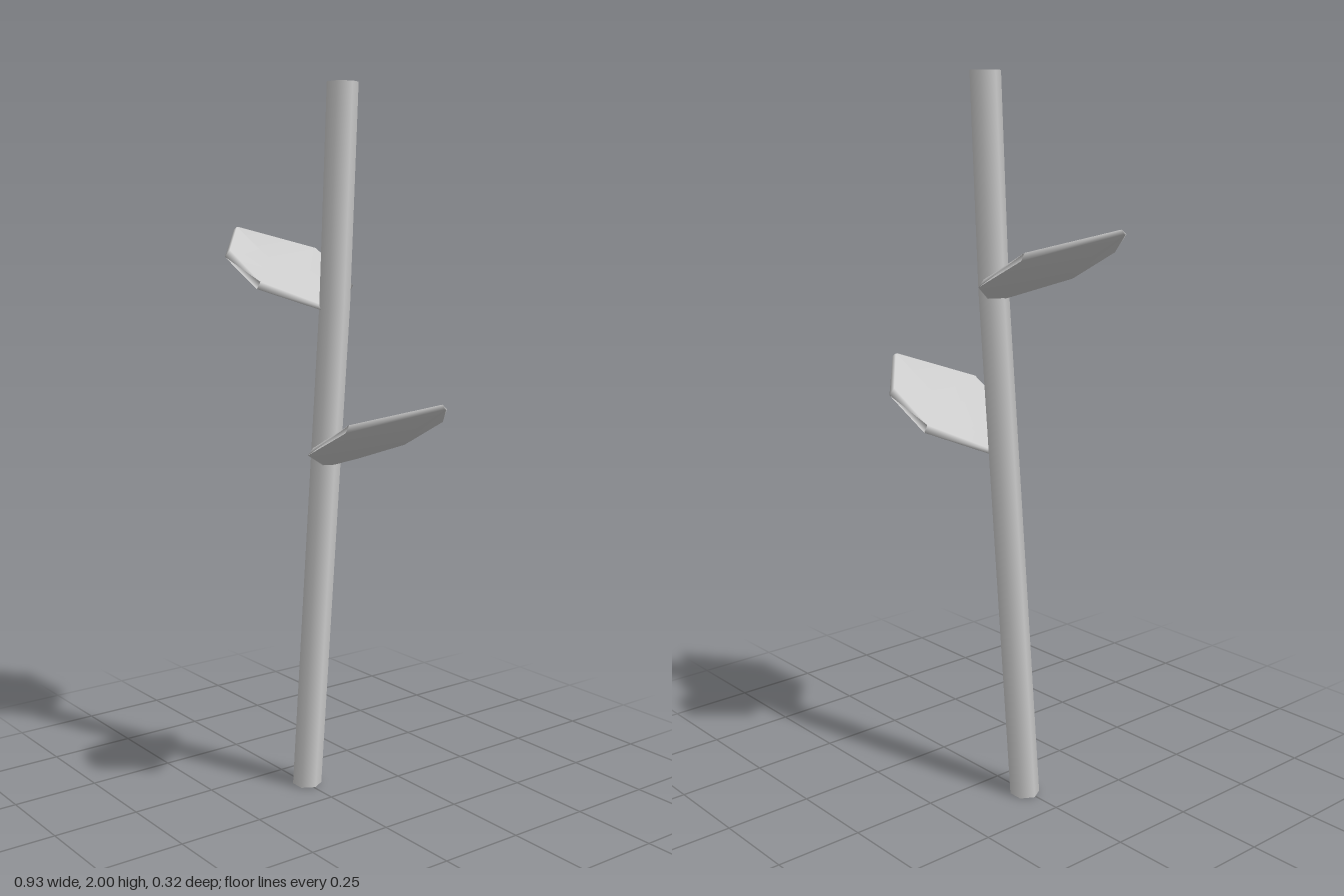
import * as THREE from 'three';

const material = new THREE.MeshStandardMaterial({ color: 0xcccccc });

// Hexagonal stem whose rings follow a gently bent centre line
function createStem() {
  const path = [[-0.125, 0], [-0.062, 0.67], [0.009, 1.42], [0.043, 2]];
  const geometry = new THREE.CylinderGeometry(0.042, 0.042, 3, 6, 3, false, Math.PI / 2);
  const pos = geometry.attributes.position;
  for (let i = 0; i < pos.count; i++) {
    const [cx, y] = path[Math.round(pos.getY(i) + 1.5)];
    pos.setXYZ(i, pos.getX(i) + cx, y, pos.getZ(i) - 0.005);
  }
  const stem = new THREE.Mesh(geometry, material);
  stem.name = 'stem';
  return stem;
}

// Thin cupped leaf with a bevelled rim, lofted from its base to its tip along +x
function createLeaf(name) {
  const thick = 0.019;
  // front x, front z, back x, back z, rim height, midrib height, thickness, bevel in z, bevel in x
  const stations = [
    [-0.022, 0.006, -0.022, -0.006, 0, 0, 0.012, 0.002, 0.006],
    [0.105, 0.156, 0.13, -0.154, 0.066, 0.042, thick, 0.014, 0.004],
    [0.275, 0.162, 0.282, -0.158, 0.148, 0.108, thick, 0.014, -0.004],
    [0.467, 0.001, 0.467, -0.007, 0.217, 0.216, 0.01, 0.002, -0.014],
  ];
  const points = [];
  for (const [fx, fz, bx, bz, rim, mid, t, dz, dx] of stations) {
    const mx = (fx + bx) / 2, mz = (fz + bz) / 2;
    points.push(
      fx, rim, fz, mx, mid, mz, bx, rim, bz,
      bx + dx, rim + t, bz + dz, mx + dx, mid + t, mz, fx + dx, rim + t, fz - dz,
    );
  }
  const n = 6, last = (stations.length - 1) * n, index = [];
  for (let s = 0; s < last; s += n) {
    for (let j = 0; j < n; j++) {
      const a = s + j, b = s + (j + 1) % n;
      index.push(a, b, a + n, b, b + n, a + n);
    }
  }
  // Close the base and the tip
  for (let j = 1; j < n - 1; j++) {
    index.push(0, j + 1, j, last, last + j, last + j + 1);
  }
  const geometry = new THREE.BufferGeometry();
  geometry.setAttribute('position', new THREE.Float32BufferAttribute(points, 3));
  geometry.setIndex(index);
  geometry.computeVertexNormals();
  const leaf = new THREE.Mesh(geometry, material);
  leaf.name = name;
  return leaf;
}

export function createModel() {
  const group = new THREE.Group();
  group.name = 'twig';

  const lowerLeaf = createLeaf('lowerLeaf');
  lowerLeaf.position.y = 0.968;

  // Same leaf turned to the other side, higher up
  const upperLeaf = createLeaf('upperLeaf');
  upperLeaf.position.y = 1.392;
  upperLeaf.rotation.y = Math.PI;

  group.add(createStem(), lowerLeaf, upperLeaf);
  return group;
}
